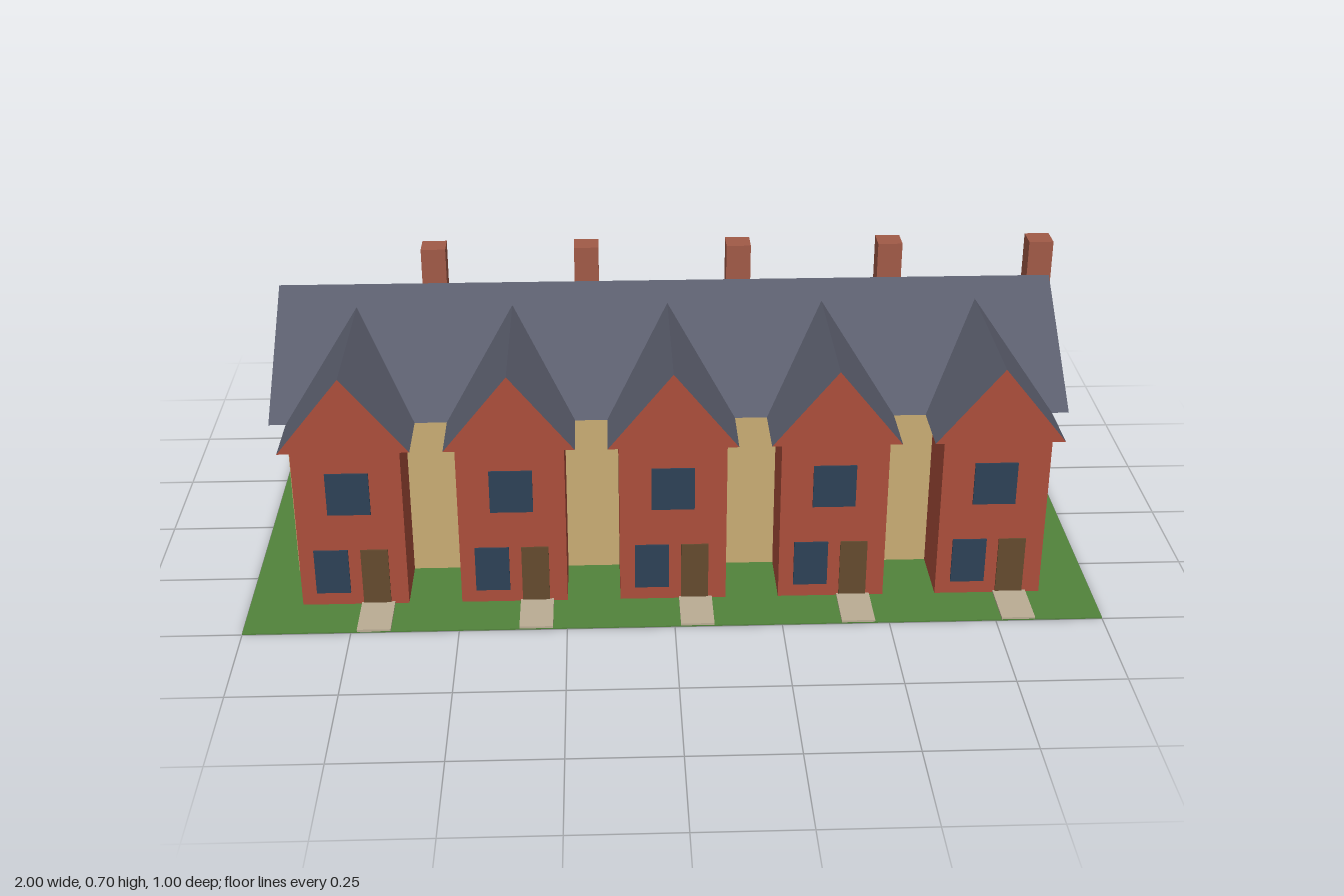
import * as THREE from 'three';

function paint(name, color) {
  const m = new THREE.MeshStandardMaterial({ color });
  m.name = name;
  return m;
}

export function createModel() {
  const model = new THREE.Group();
  model.name = 'terraceOfHouses';

  const grass = paint('grass', 0x52833b);
  const sandstone = paint('sandstone', 0xc9ac74);
  const brick = paint('redBrick', 0xab4e3b);
  const slate = paint('slate', 0x5a5d6c);
  const chimneyBrick = paint('chimneyBrick', 0xa15a47);
  const glass = paint('windowGlass', 0x2d4156);
  const wood = paint('doorWood', 0x644a2e);
  const paving = paint('paving', 0xbaac94);

  // Box given by its two extremes on each axis
  function block(parent, name, material, [x0, x1], [y0, y1], [z0, z1]) {
    const mesh = new THREE.Mesh(new THREE.BoxGeometry(x1 - x0, y1 - y0, z1 - z0), material);
    mesh.position.set((x0 + x1) / 2, (y0 + y1) / 2, (z0 + z1) / 2);
    mesh.name = name;
    parent.add(mesh);
    return mesh;
  }

  // Triangular roof with gable ends in their own colour, running along local z
  function gableRoof(parent, name, gable, [left, apex, right], [eave, ridge], length) {
    const shape = new THREE.Shape([
      new THREE.Vector2(left, eave), new THREE.Vector2(right, eave), new THREE.Vector2(apex, ridge),
    ]);
    const geometry = new THREE.ExtrudeGeometry(shape, { depth: length, bevelEnabled: false });
    const mesh = new THREE.Mesh(geometry, [gable, slate]);
    mesh.name = name;
    parent.add(mesh);
    return mesh;
  }

  // Lawn and the long main building
  const eave = 0.415;
  block(model, 'lawn', grass, [-1, 1], [0, 0.003], [-0.5, 0.5]);
  block(model, 'mainWalls', sandstone, [-0.905, 0.905], [0.001, eave], [-0.342, 0.22]);
  const roof = gableRoof(model, 'mainRoof', sandstone, [-0.25, 0.0625, 0.375], [eave, 0.638], 1.88);
  roof.rotation.y = Math.PI / 2;
  roof.position.x = -0.94;

  // Two storeys of windows along the back and on both ends
  for (const y of [0.123, 0.318]) {
    const rows = [y - 0.038, y + 0.038];
    for (let i = 0; i < 10; i++) {
      const x = (i - 4.5) * 0.181;
      block(model, 'backWindow', glass, [x - 0.032, x + 0.032], rows, [-0.345, -0.34]);
    }
    for (const side of [-1, 1]) {
      for (const z of [0.078, -0.202]) {
        const x = side * 0.905;
        block(model, 'endWindow', glass, [x - 0.003, x + 0.003], rows, [z - 0.032, z + 0.032]);
      }
    }
  }

  // Five houses, each with a brick front bay, its own gable, a path and a chimney
  for (let i = -2; i <= 2; i++) {
    const house = new THREE.Group();
    house.name = 'house';
    house.position.x = i * 0.375;
    model.add(house);

    block(house, 'bayWalls', brick, [-0.125, 0.125], [0.001, eave], [0.2, 0.378]);
    const bayRoof = gableRoof(house, 'bayRoof', brick, [-0.15, 0, 0.15], [eave, 0.6], 0.41);
    bayRoof.position.z = -0.01;

    const face = [0.376, 0.382];
    block(house, 'upperWindow', glass, [-0.05, 0.05], [0.245, 0.352], face);
    block(house, 'lowerWindow', glass, [-0.09, -0.01], [0.036, 0.15], face);
    block(house, 'door', wood, [0.019, 0.083], [0.003, 0.15], face);
    block(house, 'path', paving, [0.014, 0.092], [0.002, 0.008], [0.378, 0.5]);
    block(house, 'chimney', chimneyBrick, [0.15, 0.21], [0.508, 0.7], [-0.186, -0.126]);
  }

  return model;
}
